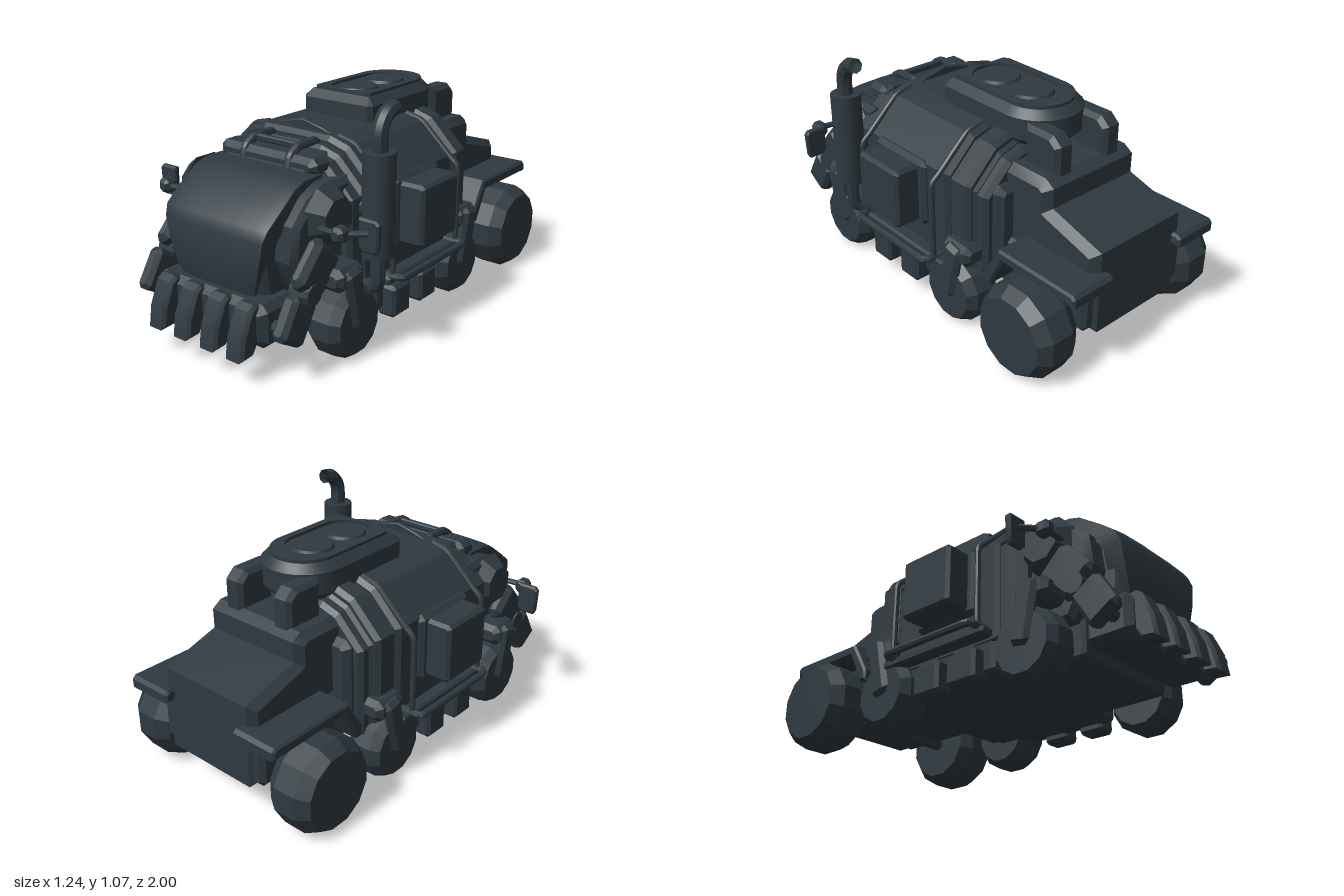
import * as THREE from 'three';
import { toCreasedNormals } from 'three/addons/utils/BufferGeometryUtils.js';

const paint = new THREE.MeshStandardMaterial({ color: 0x2e3940, side: THREE.DoubleSide });
paint.name = 'dark slate paint';

export function createModel() {
  const model = new THREE.Group();
  model.name = 'armouredTruck';

  const add = (name, geo, x = 0, y = 0, z = 0, rx = 0, crease = 0.5) => {
    const mesh = new THREE.Mesh(toCreasedNormals(geo, crease), paint);
    mesh.name = name;
    mesh.position.set(x, y, z);
    mesh.rotation.x = rx;
    model.add(mesh);
  };
  const poly = (pts) => new THREE.Shape(pts.map(([a, b]) => new THREE.Vector2(a, b)));
  // extrusion centred on its depth, with one-step bevels inside the outline
  const slab = (shape, depth, c) => {
    const g = new THREE.ExtrudeGeometry(shape, {
      depth: depth - 2 * c, bevelEnabled: c > 0, bevelSize: c, bevelThickness: c,
      bevelOffset: -c, bevelSegments: 1, curveSegments: 10,
    });
    return g.translate(0, 0, c - depth / 2);
  };
  // block with every edge chamfered
  const block = (w, h, d, c = 0.015) => {
    const a = w / 2, b = h / 2;
    return slab(poly([[-a + c, -b], [a - c, -b], [a, -b + c], [a, b - c],
      [a - c, b], [-a + c, b], [-a, b - c], [-a, -b + c]]), d, c);
  };
  // side outline of [z, y] points given a width in x
  const sideProfile = (pts, width, c) => slab(poly(pts), width, c).rotateY(-Math.PI / 2);
  const tube = (pts, r, n = 32, tension = 0.12) => new THREE.TubeGeometry(
    new THREE.CatmullRomCurve3(pts.map((p) => new THREE.Vector3(...p)), false, 'catmullrom', tension), n, r, 8);
  const both = (fn) => [1, -1].forEach((s) => fn(s, s > 0 ? 'left' : 'right'));

  // main hull: arched cross-sections along z
  const hull = (name, s, z0, z1, c = 0.02) => {
    const half = [[0.43, 0.25], [0.43, 0.7], [0.285, 0.845], [0.185, 0.875]];
    const pts = [...half, ...half.map(([x, y]) => [-x, y]).reverse()]
      .map(([x, y]) => [x * s, 0.25 + (y - 0.25) * s]);
    add(name, slab(poly(pts), z1 - z0, c), 0, 0, (z0 + z1) / 2, 0, 0.2);
  };
  hull('hullMain', 1, -0.25, 0.35);
  hull('hullRear', 0.95, -0.4, -0.2);
  hull('hullRearRib', 1, -0.385, -0.275);
  hull('hullRearEnd', 0.91, -0.45, -0.38);
  hull('hullFront', 0.95, 0.28, 0.4);
  hull('hullFrontRib', 0.92, 0.36, 0.47);

  // low arched ridges across the roof
  [0.29, -0.215].forEach((z) => add('roofRidge', slab(poly([[-0.2, 0.86], [0.2, 0.86],
    [0.11, 0.89], [0, 0.915], [-0.11, 0.89]]), 0.024, 0.004), 0, 0, z));

  // underbody
  add('chassis', block(0.84, 0.17, 0.62), 0, 0.2, 0.01);
  add('chassisSpine', block(0.58, 0.2, 1.01), 0, 0.215, 0.175);
  both((s, side) => {
    [0.2, -0.01].forEach((z) => add(side + 'UnderBox', block(0.1, 0.15, 0.13), s * 0.43, 0.155, z));
    add(side + 'Sill', block(0.08, 0.04, 0.6, 0.01), s * 0.45, 0.28, 0.02);
  });

  // nose behind the front shield
  add('nose', sideProfile([[0.4, 0.24], [0.4, 0.83], [0.53, 0.82], [0.55, 0.77], [0.63, 0.755],
    [0.72, 0.7], [0.83, 0.6], [0.845, 0.5], [0.84, 0.4], [0.8, 0.24]], 0.5, 0.03));
  add('noseFlanks', sideProfile([[0.4, 0.26], [0.4, 0.75], [0.56, 0.75], [0.66, 0.71],
    [0.75, 0.62], [0.77, 0.47], [0.72, 0.36], [0.66, 0.26]], 0.7, 0.025));
  add('browRing', block(0.54, 0.08, 0.12, 0.025), 0, 0.79, 0.485);

  // curved front shield, narrowing downwards
  const rows = [[0.5, 0.777, 0.275], [0.62, 0.777, 0.28], [0.68, 0.757, 0.283], [0.78, 0.685, 0.285],
    [0.855, 0.625, 0.282], [0.877, 0.575, 0.272], [0.877, 0.46, 0.25], [0.872, 0.37, 0.225], [0.85, 0.305, 0.2]];
  const cols = [-1, -1, -0.95, -0.8, -0.4, 0, 0.4, 0.8, 0.95, 1, 1];
  const verts = [], faces = [];
  rows.forEach(([z, y, w], i) => cols.forEach((u, j) => {
    const edge = j === 0 || j === cols.length - 1;
    const k = edge ? 0.3 : 0.04 * Math.abs(u) ** 5;
    verts.push(u * w, y + (0.5 - y) * k, z + (0.55 - z) * k);
    if (i && j) {
      const n = cols.length, d = i * n + j, b = d - n;
      faces.push(b - 1, d - 1, d, b - 1, d, b);
    }
  }));
  const shield = new THREE.BufferGeometry();
  shield.setAttribute('position', new THREE.Float32BufferAttribute(verts, 3));
  shield.setIndex(faces);
  add('frontShield', shield, 0, 0, 0, 0, 0.8);

  // grab bars above the shield
  both((s, side) => add(side + 'BrowBar', tube([[s * 0.125, 0.83, 0.34], [s * 0.125, 0.852, 0.37],
    [s * 0.125, 0.852, 0.47], [s * 0.125, 0.82, 0.525], [s * 0.125, 0.76, 0.54]], 0.02)));
  add('browCrossBar', block(0.24, 0.03, 0.03, 0.006), 0, 0.85, 0.46);

  // front bumper with four teeth
  add('bumper', block(0.62, 0.19, 0.22, 0.03), 0, 0.235, 0.8);
  [-0.225, -0.077, 0.077, 0.225].forEach((x) => add('bumperTooth', sideProfile(
    [[0.82, 0.15], [0.82, 0.32], [0.91, 0.335], [0.94, 0.315], [0.985, 0.21], [1, 0.115],
      [0.925, 0.12], [0.9, 0.16]], 0.098, 0.014), x));

  both((s, side) => {
    // jointed arms beside the nose
    add(side + 'UpperArm', block(0.075, 0.22, 0.18, 0.025), s * 0.385, 0.44, 0.685, -0.75);
    add(side + 'LowerArm', block(0.075, 0.19, 0.15, 0.02), s * 0.39, 0.27, 0.82, -0.55);
    add(side + 'ArmJoint', new THREE.CylinderGeometry(0.045, 0.045, 0.1, 10).rotateZ(Math.PI / 2), s * 0.38, 0.36, 0.74);
    add(side + 'ArmPin', new THREE.CylinderGeometry(0.028, 0.028, 0.2, 8).rotateZ(Math.PI / 2), s * 0.32, 0.23, 0.84);

    // octagonal cheek and mirror
    add(side + 'Cheek', new THREE.CylinderGeometry(0.09, 0.14, 0.07, 8).rotateY(Math.PI / 8)
      .rotateZ(-s * Math.PI / 2), s * 0.375, 0.62, 0.56);
    add(side + 'MirrorMount', block(0.06, 0.065, 0.07), s * 0.49, 0.605, 0.655);
    add(side + 'MirrorArm', tube([[s * 0.37, 0.605, 0.65], [s * 0.48, 0.605, 0.66],
      [s * 0.57, 0.605, 0.585]], 0.014, 16));
    add(side + 'Mirror', slab(poly([[-0.05, -0.06], [-0.03, -0.08], [0.035, -0.08], [0.045, -0.06],
      [0.05, 0.045], [0.035, 0.06], [-0.05, 0.06]].map(([x, y]) => [s * x, y])), 0.03, 0.008),
    s * 0.57, 0.6, 0.57);

    // side locker with a framed lid
    add(side + 'Locker', block(0.16, 0.28, 0.28, 0.015), s * 0.493, 0.55, 0.06);
    add(side + 'LockerFrame', block(0.05, 0.32, 0.35, 0.02), s * 0.43, 0.55, 0.06);

    // side hoops joined by a step rail
    [0.29, -0.215].forEach((z) => add(side + 'Hoop', tube([[s * 0.2, 0.87, z], [s * 0.287, 0.847, z],
      [s * 0.445, 0.7, z], [s * 0.485, 0.66, z], [s * 0.485, 0.31, z], [s * 0.44, 0.27, z]], 0.013, 40)));
    add(side + 'StepRail', tube([[s * 0.43, 0.3, 0.29], [s * 0.52, 0.3, 0.29], [s * 0.535, 0.3, 0.26],
      [s * 0.535, 0.3, -0.19], [s * 0.52, 0.3, -0.215], [s * 0.43, 0.3, -0.215]], 0.017, 40));
  });

  // faceted wheels with chamfered shoulders
  const wheel = (r, w) => new THREE.LatheGeometry([[0, -0.5], [0.82, -0.5], [1, -0.25],
    [1, 0.25], [0.82, 0.5], [0, 0.5]].map(([a, b]) => new THREE.Vector2(a * r, b * w)), 12)
    .rotateZ(Math.PI / 2).rotateX(Math.PI / 12);
  both((s, side) => {
    [['Front', 0.515, 0.2], ['Middle', -0.3, -0.22]].forEach(([pos, z, tilt]) => {
      add(side + pos + 'Wheel', wheel(0.161, 0.17), s * 0.395, 0.163, z, 0, 0.1);
      add(side + pos + 'Strut', block(0.05, 0.28, 0.1, 0.02), s * 0.475, 0.285, z + tilt * 0.1, tilt);
      add(side + pos + 'StrutMount', block(0.16, 0.1, 0.17, 0.025), s * 0.4, 0.38, z + tilt * 0.2);
    });
    add(side + 'RearWheel', wheel(0.21, 0.22), s * 0.425, 0.212, -0.75, 0, 0.1);
    // rear mudguards
    add(side + 'Mudguard', sideProfile([[-0.48, 0.29], [-0.515, 0.29], [-0.595, 0.44], [-1, 0.435],
      [-1, 0.475], [-0.985, 0.49], [-0.57, 0.49], [-0.48, 0.34]], 0.23, 0.01), s * 0.315);
  });
  [[0.515, 0.163], [-0.3, 0.163], [-0.75, 0.212]].forEach(([z, y]) =>
    add('axle', new THREE.CylinderGeometry(0.035, 0.035, 0.8, 8).rotateZ(Math.PI / 2), 0, y, z));

  // rear engine body with sloping deck
  add('engineBody', sideProfile([[-0.4, 0.2], [-0.4, 0.78], [-0.64, 0.78], [-0.685, 0.75], [-0.685, 0.66],
    [-0.955, 0.58], [-0.955, 0.2]], 0.54, 0.035));
  add('engineShoulder', block(0.7, 0.4, 0.1, 0.03), 0, 0.5, -0.44);
  add('engineBase', block(0.6, 0.24, 0.5, 0.02), 0, 0.33, -0.69);
  both((s, side) => add(side + 'IntakeFin', sideProfile([[-0.46, 0.74], [-0.46, 0.94], [-0.61, 0.94],
    [-0.655, 0.9], [-0.655, 0.74]], 0.1, 0.02), s * 0.14));

  // roof pod, rounded at the back, with two hatches in its well
  const podShape = (w, front, back) => {
    const p = new THREE.Shape();
    p.moveTo(-w + 0.02, -front);
    p.lineTo(w - 0.02, -front);
    p.lineTo(w, -front + 0.02);
    p.absarc(0, back, w, 0, Math.PI);
    p.lineTo(-w, -front + 0.02);
    return p;
  };
  add('roofPod', slab(podShape(0.195, 0.065, 0.35), 0.165, 0.035).rotateX(-Math.PI / 2), 0, 0.9, 0);
  const rim = podShape(0.155, 0.03, 0.35);
  const well = new THREE.Path();
  well.absarc(0, 0.31, 0.12, 0, Math.PI);
  well.absarc(0, 0.1, 0.12, Math.PI, Math.PI * 2);
  rim.holes.push(well);
  add('roofPodRim', slab(rim, 0.03, 0).rotateX(-Math.PI / 2), 0, 0.981, 0);
  [-0.31, -0.1].forEach((z) => add('roofHatch', new THREE.CylinderGeometry(0.09, 0.102, 0.025, 20), 0, 0.983, z));

  // exhaust stack on the left side
  add('exhaustMuffler', new THREE.CylinderGeometry(0.07, 0.07, 0.445, 14), 0.488, 0.655, 0.4);
  add('exhaustPipe', tube([[0.488, 0.86, 0.4], [0.488, 0.95, 0.4], [0.488, 1.0, 0.38],
    [0.488, 1.03, 0.345], [0.488, 1.04, 0.3]], 0.035, 24, 0.5));
  add('exhaustInlet', tube([[0.488, 0.45, 0.4], [0.488, 0.32, 0.4], [0.46, 0.28, 0.39],
    [0.4, 0.27, 0.37]], 0.03, 20, 0.4));
  add('exhaustBracket', block(0.1, 0.06, 0.06), 0.42, 0.62, 0.38);

  return model;
}
